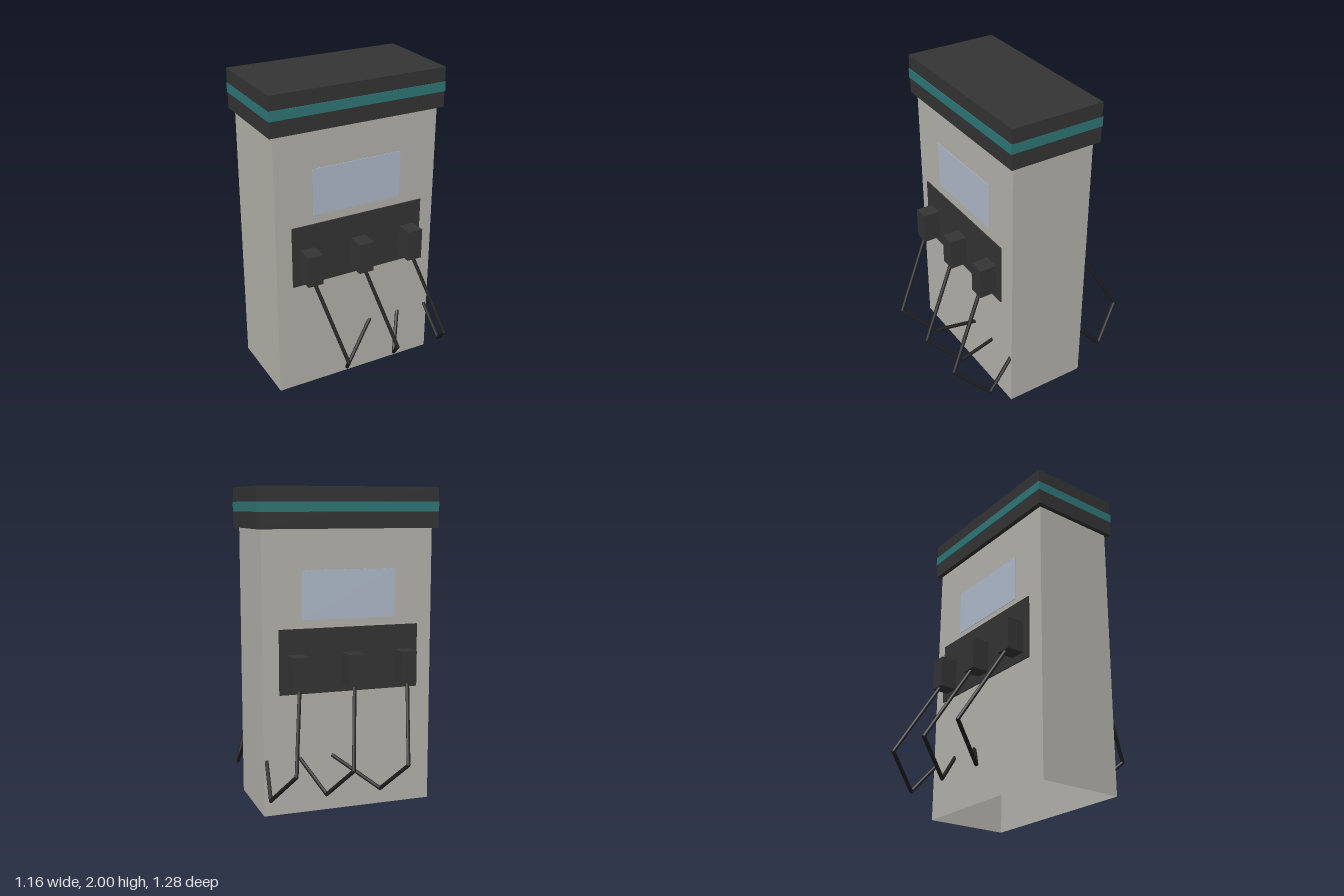
import * as THREE from 'three';

const mat = (name, color, side = THREE.FrontSide) => {
  const m = new THREE.MeshStandardMaterial({ color, side });
  m.name = name;
  return m;
};

export function createModel() {
  const casing = mat('warm grey casing', 0xb5b3ab, THREE.DoubleSide);
  const dark = mat('charcoal', 0x343434);
  const teal = mat('teal', 0x2f7777);
  const glass = mat('pale blue screen', 0xb0bbcc);
  const rubber = mat('black rubber', 0x1f1f1f);

  const model = new THREE.Group();
  model.name = 'fuelDispenser';

  const add = (parent, name, geometry, material, x = 0, y = 0, z = 0) => {
    const mesh = new THREE.Mesh(geometry, material);
    mesh.name = name;
    mesh.position.set(x, y, z);
    parent.add(mesh);
    return mesh;
  };

  // Cabinet: four walls, open at the bottom
  const W = 1.1, D = 0.54, H = 1.75;
  const cabinet = new THREE.Group();
  cabinet.name = 'cabinet';
  for (let i = 0; i < 4; i++) {
    const a = i * Math.PI / 2;
    const onSide = i % 2 === 1;
    const r = (onSide ? W : D) / 2;
    const wall = add(cabinet, 'wall', new THREE.PlaneGeometry(onSide ? D : W, H), casing,
      Math.sin(a) * r, H / 2, Math.cos(a) * r);
    wall.rotation.y = a;
  }
  model.add(cabinet);

  // Top cap with a stripe around it
  add(model, 'cap', new THREE.BoxGeometry(1.16, 0.25, 0.6), dark, 0, 1.875, 0);
  add(model, 'capStripe', new THREE.BoxGeometry(1.163, 0.06, 0.61), teal, 0, 1.88, 0);

  // A hose is a chain of straight tubes with rounded joints
  const R = 0.012;
  const addHose = (parent, points) => {
    const hose = new THREE.Group();
    hose.name = 'hose';
    points.slice(1).forEach((b, i) => {
      const a = points[i];
      const dir = b.clone().sub(a);
      const tube = add(hose, 'hoseSegment',
        new THREE.CylinderGeometry(R, R, dir.length(), 8), rubber);
      tube.position.copy(a).addScaledVector(dir, 0.5);
      tube.quaternion.setFromUnitVectors(new THREE.Vector3(0, 1, 0), dir.normalize());
      if (i > 0) add(hose, 'hoseJoint', new THREE.SphereGeometry(R, 8, 6), rubber, a.x, a.y, a.z);
    });
    parent.add(hose);
  };

  // Front and back fittings, mirrored in z
  for (const s of [1, -1]) {
    const face = new THREE.Group();
    face.name = s > 0 ? 'frontFittings' : 'backFittings';
    add(face, 'screen', new THREE.BoxGeometry(0.6, 0.3, 0.004), glass, 0, 1.355, s * 0.271);
    add(face, 'nozzlePanel', new THREE.BoxGeometry(0.9, 0.4, 0.008), dark, 0, 0.955, s * 0.285);

    [-0.35, 0, 0.35].forEach((x, i) => {
      add(face, 'nozzle', new THREE.BoxGeometry(0.1, 0.2, 0.115), dark, x, 0.9, s * 0.3425);
      addHose(face, [
        new THREE.Vector3(x, 0.81, s * 0.375),
        new THREE.Vector3(x + 0.1, 0.35, s * 0.63),
        new THREE.Vector3(x + 0.2, 0.155, s * 0.43),
        new THREE.Vector3(0.11 + 0.21 * i, 0.35, s * 0.265),
      ]);
    });
    model.add(face);
  }

  return model;
}
